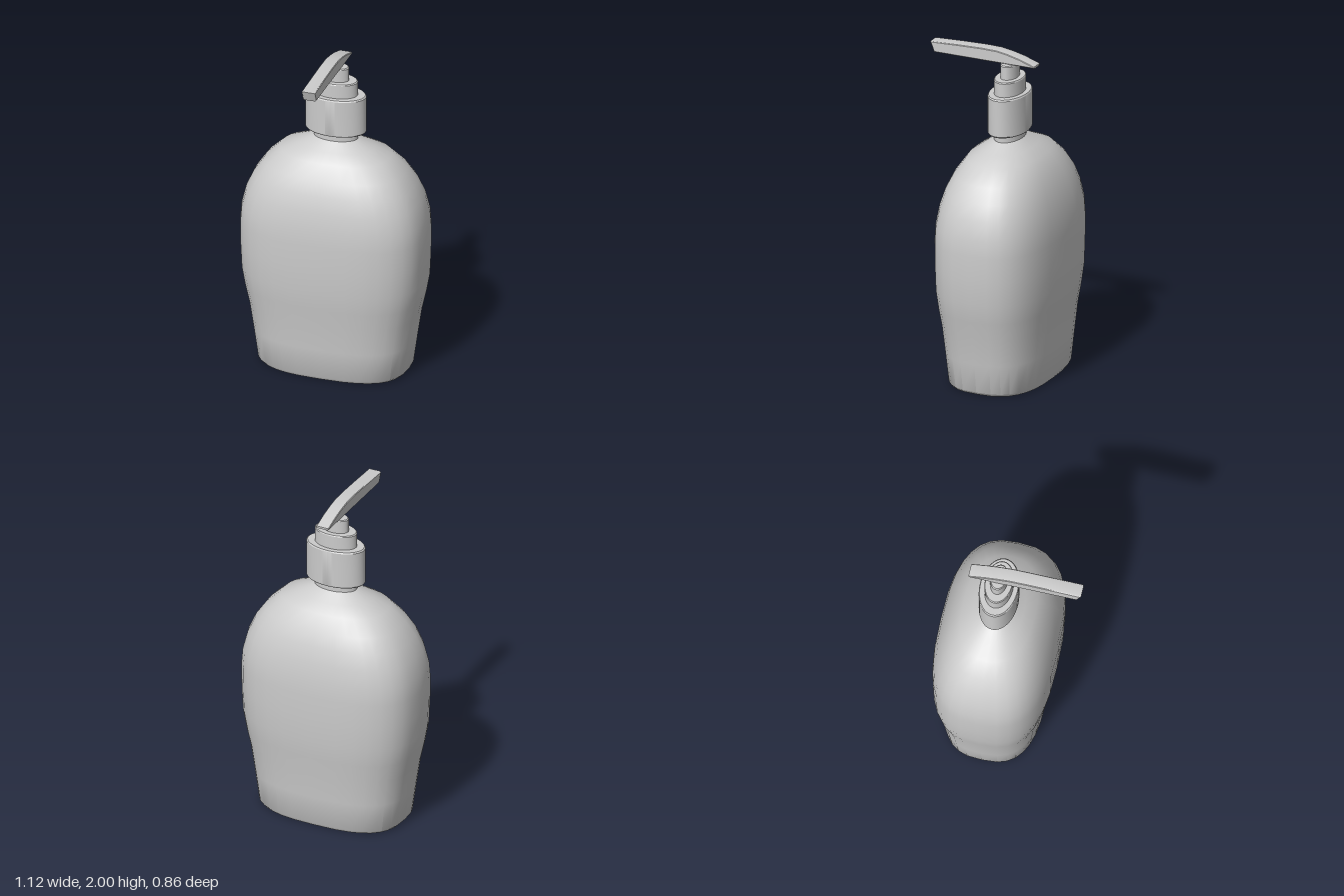
import * as THREE from 'three';
import { toCreasedNormals } from 'three/addons/utils/BufferGeometryUtils.js';

const CENTER_Z = -0.07; // axis of bottle and pump
const material = new THREE.MeshStandardMaterial({ color: 0xcccccc, side: THREE.DoubleSide });

function addMesh(parent, name, geometry) {
  const mesh = new THREE.Mesh(geometry, material);
  mesh.name = name;
  parent.add(mesh);
  return mesh;
}

// Bottle: superellipse sections stacked by [half width, height, exponent]
function bottleGeometry() {
  const sections = [
    [0.437, 0, 2.8], [0.455, 0.018, 2.8], [0.48, 0.2, 2.8], [0.505, 0.37, 2.8], [0.53, 0.48, 2.8],
    [0.551, 0.6, 2.8], [0.558, 0.75, 2.8], [0.56, 0.9, 2.8], [0.552, 1.0, 2.8],
    [0.525, 1.11, 2.75], [0.483, 1.205, 2.7], [0.425, 1.29, 2.6], [0.335, 1.377, 2.4],
    [0.235, 1.422, 2.2], [0.13, 1.47, 2],
  ];
  const depth = 0.634, sides = 32;
  const positions = [], index = [];
  const power = (v, e) => Math.sign(v) * Math.abs(v) ** e;
  for (const [r, y, n] of sections) {
    for (let j = 0; j < sides; j++) {
      const a = (j / sides) * Math.PI * 2;
      positions.push(r * power(Math.sin(a), 2 / n), y, r * depth * power(Math.cos(a), 2 / n));
    }
  }
  for (let i = 0; i < sections.length - 1; i++) {
    for (let j = 0; j < sides; j++) {
      const k = (j + 1) % sides;
      const a = i * sides + j, b = i * sides + k;
      index.push(a, b, b + sides, a, b + sides, a + sides);
    }
  }
  // flat base
  const center = positions.length / 3;
  positions.push(0, 0, 0);
  for (let j = 0; j < sides; j++) index.push(center, (j + 1) % sides, j);

  const geometry = new THREE.BufferGeometry();
  geometry.setAttribute('position', new THREE.Float32BufferAttribute(positions, 3));
  geometry.setIndex(index);
  return toCreasedNormals(geometry, 0.65);
}

// Oval turned part from [radius, height] points, bottom to top
function turned(points) {
  const geometry = new THREE.LatheGeometry(points.map(([r, y]) => new THREE.Vector2(r, y)), 40);
  geometry.scale(1, 1, 0.62);
  return toCreasedNormals(geometry, 0.5);
}

// Upright oval ring with a small bevel at its top edge
function step(radius, bottom, top) {
  const b = 0.006;
  return turned([[radius, bottom], [radius, top - b], [radius - b, top], [0, top]]);
}

// Spout: side outline extruded across its width with bevelled edges
function spoutGeometry() {
  const outline = [
    [0.405, 1.924], [0.43, 1.988], [0.25, 1.996], [0.1, 2], [0, 1.998],
    [-0.07, 1.987], [-0.15, 1.968], [-0.245, 1.936], [-0.245, 1.924],
  ];
  const shape = new THREE.Shape(outline.map(([z, y]) => new THREE.Vector2(z, y)));
  const width = 0.082, bevel = 0.012;
  const geometry = new THREE.ExtrudeGeometry(shape, {
    depth: width - 2 * bevel, bevelEnabled: true, bevelThickness: bevel,
    bevelSize: 0.005, bevelOffset: -0.005, bevelSegments: 2,
  });
  geometry.translate(0, 0, -width / 2 + bevel);
  geometry.rotateY(-Math.PI / 2);
  return toCreasedNormals(geometry, 0.4);
}

export function createModel() {
  const model = new THREE.Group();
  model.name = 'soapDispenser';

  const axis = new THREE.Group();
  axis.name = 'bottleAndPump';
  axis.position.z = CENTER_Z;
  model.add(axis);

  addMesh(axis, 'bottle', bottleGeometry());
  addMesh(axis, 'neck', turned([[0.134, 1.465], [0.134, 1.56]]));

  // collar with a recessed underside
  addMesh(axis, 'collar', turned([
    [0.13, 1.545], [0.165, 1.545], [0.168, 1.512], [0.178, 1.512], [0.185, 1.52],
    [0.185, 1.742], [0.178, 1.75], [0, 1.75],
  ]));
  addMesh(axis, 'collarStep', step(0.133, 1.745, 1.84));
  addMesh(axis, 'pumpStem', step(0.08, 1.835, 1.925));

  addMesh(model, 'spout', spoutGeometry());
  return model;
}
